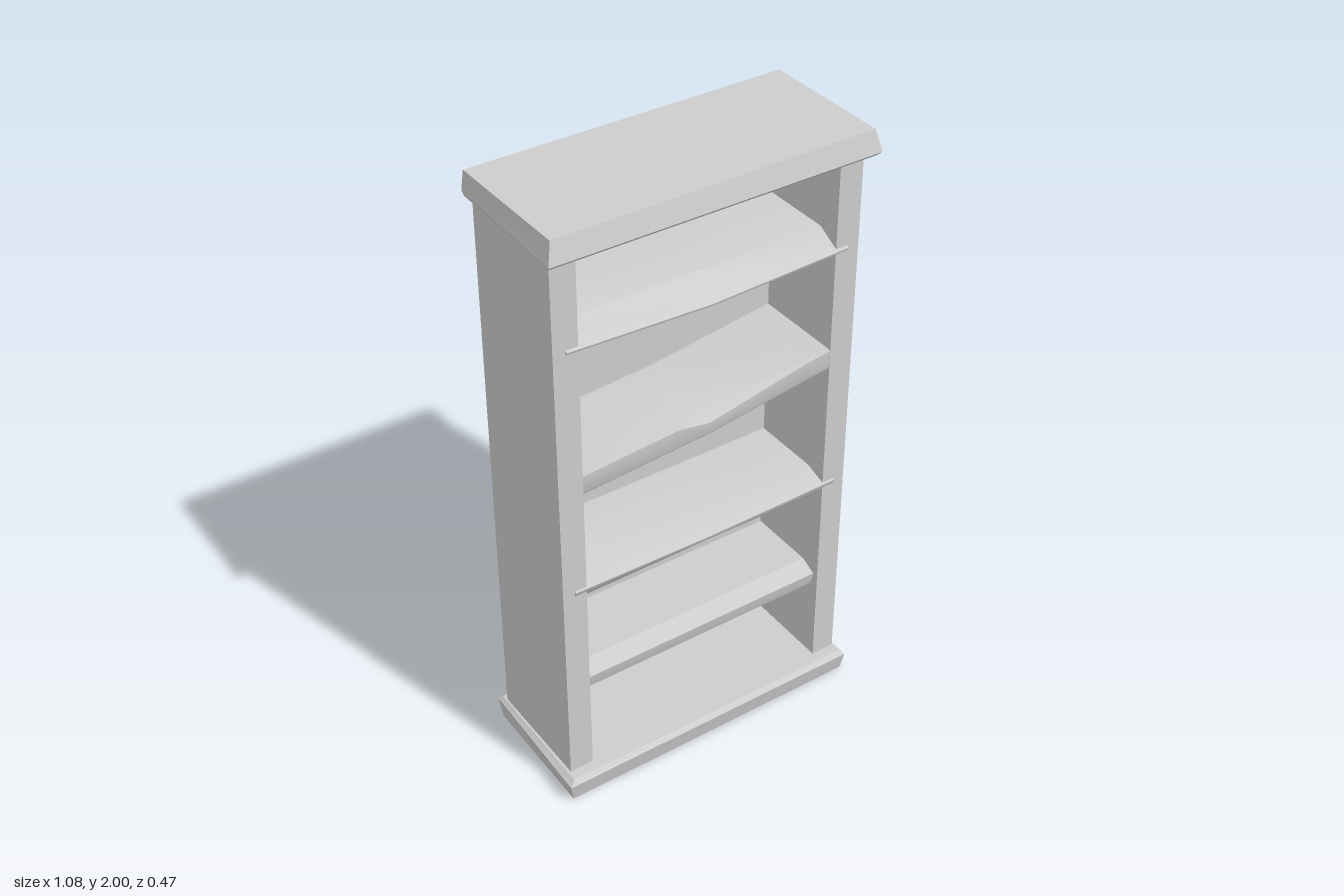
import * as THREE from 'three';
import { toCreasedNormals } from 'three/addons/utils/BufferGeometryUtils.js';

const wood = new THREE.MeshStandardMaterial({ color: 0xcccccc });
wood.name = 'pale grey';

// Skin a closed solid over rings of [x, y, z] points, with capped ends.
// Rings run counter-clockwise as seen from the end they advance towards.
function loft(rings, crease) {
  const n = rings[0].length;
  const index = [];
  for (let r = 0; r < rings.length - 1; r++) {
    for (let i = 0; i < n; i++) {
      const a = r * n + i, b = r * n + (i + 1) % n;
      index.push(a, b, b + n, a, b + n, a + n);
    }
  }
  const last = (rings.length - 1) * n;
  for (let i = 1; i < n - 1; i++) {
    index.push(0, i + 1, i, last, last + i, last + i + 1);
  }
  const geometry = new THREE.BufferGeometry();
  geometry.setAttribute('position', new THREE.Float32BufferAttribute(rings.flat(2), 3));
  geometry.setIndex(index);
  return toCreasedNormals(geometry, crease);
}

// Slab level: y, then front-left, front-right, back-right and back-left x, front z, back z
const level = (y, fl, fr, br, bl, zf, zb) =>
  [[fl, y, zf], [fr, y, zf], [br, y, zb], [bl, y, zb]];

// Shelf section at x: top crease, lip top, lip bottom, underside front, then the back
const section = (x, [topY, topZ], lipTop, lipLow, [lowY, lowZ]) => [
  [x, topY, topZ], [x, ...lipTop], [x, ...lipLow], [x, lowY, lowZ],
  [x, lowY, -0.14], [x, topY, -0.14],
];

export function createModel() {
  const model = new THREE.Group();
  model.name = 'bookcase';
  const add = (name, geometry, x = 0, y = 0, z = 0) => {
    const mesh = new THREE.Mesh(geometry, wood);
    mesh.name = name;
    mesh.position.set(x, y, z);
    model.add(mesh);
  };

  // Case: two sides and a back
  for (const [name, side] of [['leftSide', 1], ['rightSide', -1]]) {
    add(name, new THREE.BoxGeometry(0.08, 1.88, 0.385), side * 0.47, 0.995, -0.0075);
  }
  add('backPanel', new THREE.BoxGeometry(0.86, 1.88, 0.08), 0, 0.995, -0.16);

  // Chipped base and crown slabs
  add('base', loft([
    level(0, -0.525, 0.52, 0.52, -0.52, 0.22, -0.215),
    level(0.067, -0.54, 0.525, 0.52, -0.525, 0.235, -0.235),
    level(0.08, -0.52, 0.515, 0.515, -0.515, 0.22, -0.22),
  ], 0.4));
  add('crown', loft([
    level(1.92, -0.53, 0.525, 0.52, -0.52, 0.22, -0.225),
    level(1.933, -0.538, 0.535, 0.522, -0.522, 0.233, -0.235),
    level(2, -0.52, 0.52, 0.52, -0.52, 0.215, -0.222),
  ], 0.4));

  // Top shelf: sagging lip that overhangs the posts
  add('topShelf', loft([[-0.47, 1.63], [0, 1.612], [0.47, 1.63]].map(([x, y]) =>
    section(x, [1.675, 0.11], [y, 0.193], [y - 0.008, 0.19], [x ? 1.602 : 1.595, 0.12])), 0.5));

  // Crooked shelf: tilted, with a splinter missing from its front edge
  add('crookedShelf', loft([
    [-0.43, 1.20, 1.198, 1.13, 0.165],
    [-0.11, 1.224, 1.222, 1.153, 0.165],
    [0, 1.23, 1.205, 1.16, 0.13],
    [0.34, 1.278, 1.275, 1.208, 0.165],
    [0.43, 1.29, 1.288, 1.22, 0.165],
  ].map(([x, top, lip, low, z]) =>
    section(x, [top, z], [lip, 0.185], [low + 0.01, 0.183], [low, 0.178])), 0.5));

  // Middle shelf: thin lip overhanging the posts
  add('middleShelf', loft([[-0.47, 0.795], [0, 0.788], [0.47, 0.795]].map(([x, y]) =>
    section(x, [0.82, 0.11], [y, 0.192], [y - 0.012, 0.188], [x ? 0.748 : 0.753, 0.165])), 0.5));

  // Lower shelf: straight with a bevelled front
  add('lowerShelf', loft([-0.43, 0.43].map((x) =>
    section(x, [0.44, 0.11], [0.415, 0.165], [0.39, 0.16], [0.365, 0.152])), 0.4));

  return model;
}
